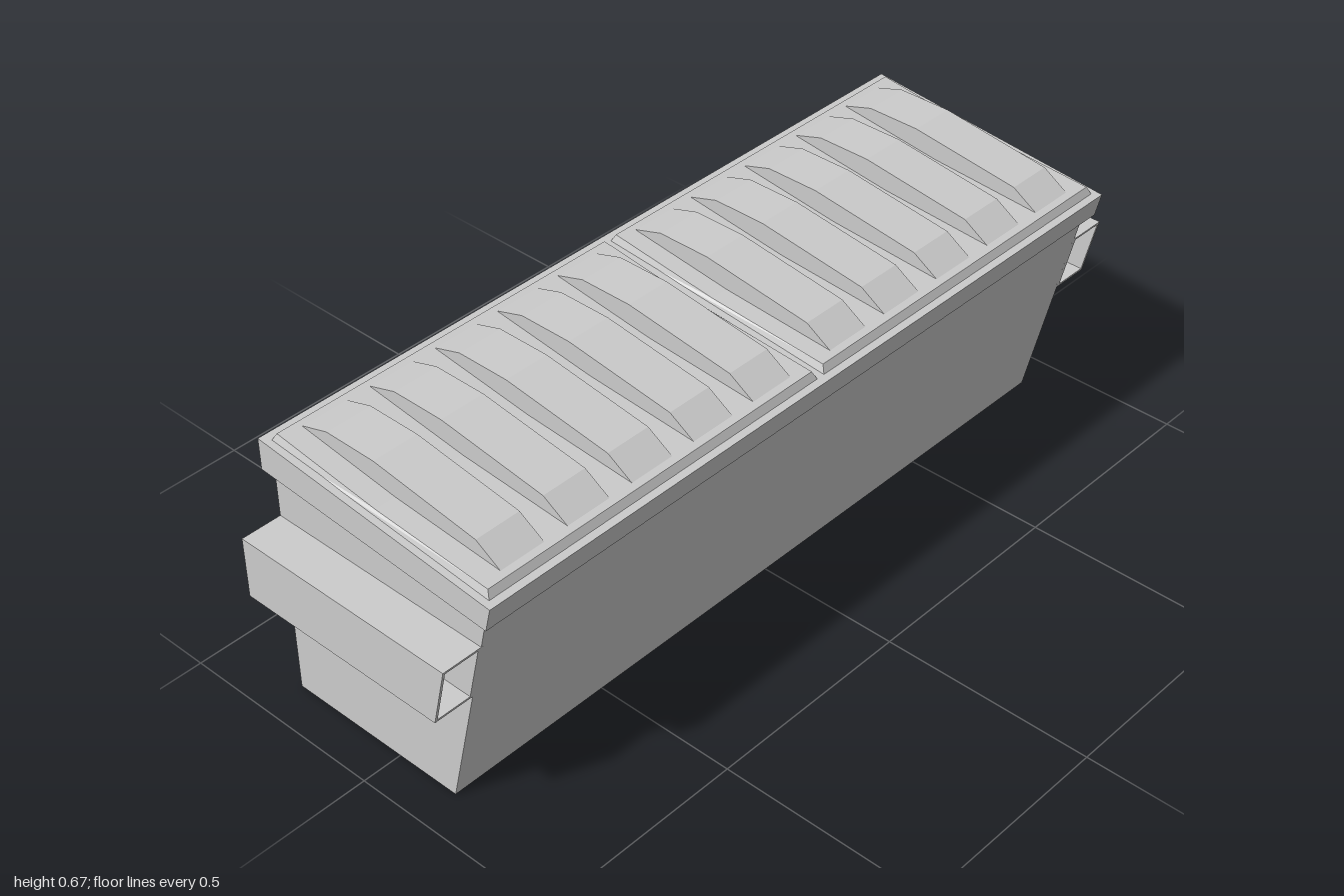
import * as THREE from 'three';

const material = new THREE.MeshStandardMaterial({ color: 0xcccccc, flatShading: true });

// Extrude an x-y outline between two z positions
function slab(name, points, z0, z1) {
  const shape = new THREE.Shape(points.map(([x, y]) => new THREE.Vector2(x, y)));
  const geometry = new THREE.ExtrudeGeometry(shape, { depth: z1 - z0, bevelEnabled: false });
  geometry.translate(0, 0, z0);
  const mesh = new THREE.Mesh(geometry, material);
  mesh.name = name;
  return mesh;
}

// Lid panel whose top edge is drawn in, giving chamfered ends
function lidPanel(z0, z1) {
  const top = [[0.285, 0.595], [-0.01, 0.615], [-0.282, 0.649]];
  const mesh = slab('lidPanel', [[-0.295, 0.625], [0.298, 0.57], ...top], z0, z1);
  const p = mesh.geometry.attributes.position;
  const mid = (z0 + z1) / 2;
  for (let i = 0; i < p.count; i++) {
    const onTop = top.some(([x, y]) => Math.hypot(p.getX(i) - x, p.getY(i) - y) < 1e-4);
    if (onTop) p.setZ(i, p.getZ(i) - Math.sign(p.getZ(i) - mid) * 0.01);
  }
  mesh.geometry.computeVertexNormals();
  return mesh;
}

// Hollow lifting sleeve running along x, its front end cut to the wall's slope
function sleeve(side) {
  const y0 = 0.303, y1 = 0.447, inner = 0.9, outer = 1.0, t = 0.006;
  const rect = (Type, a, b, c, d) => new Type([[a, c], [b, c], [b, d], [a, d]].map(([u, v]) => new THREE.Vector2(u, v)));
  const shape = rect(THREE.Shape, inner, outer, y0, y1);
  shape.holes.push(rect(THREE.Path, inner + 0.012, outer - t, y0 + t, y1 - t));
  const geometry = new THREE.ExtrudeGeometry(shape, { depth: 1, bevelEnabled: false });
  const p = geometry.attributes.position;
  for (let i = 0; i < p.count; i++) {
    const end = 0.158 + 0.2352 * p.getY(i);
    p.setZ(i, p.getZ(i) > 0.5 ? end : -0.295);
  }
  geometry.rotateY(Math.PI / 2); // lies at negative z
  if (side > 0) geometry.translate(0, 0, inner + outer);
  if (side > 0) {
    // move the thicker wall back against the body
    for (let i = 0; i < p.count; i++) {
      const z = p.getZ(i);
      if (Math.abs(z - (outer - 0.012)) < 1e-4) p.setZ(i, outer - t);
      else if (Math.abs(z - (inner + t)) < 1e-4) p.setZ(i, inner + 0.012);
    }
  }
  geometry.computeVertexNormals();
  const mesh = new THREE.Mesh(geometry, material);
  mesh.name = side > 0 ? 'frontSleeve' : 'rearSleeve';
  return mesh;
}

export function createModel() {
  const model = new THREE.Group();
  model.name = 'wasteContainer';

  // Hopper with one sloping long wall
  model.add(slab('body', [[-0.295, 0], [0.158, 0], [0.288, 0.553], [-0.295, 0.6]], -0.905, 0.905));

  // Overhanging rim band
  model.add(slab('rim', [[-0.312, 0.561], [0.298, 0.518], [0.312, 0.576], [-0.312, 0.635]], -0.922, 0.922));

  // Two ribbed lids with a narrow gap between them
  const ribProfile = [[-0.265, 0.62], [0.265, 0.58], [0.267, 0.596], [0.205, 0.634], [-0.065, 0.67], [-0.195, 0.67], [-0.265, 0.648]];
  for (const side of [-1, 1]) {
    const lid = new THREE.Group();
    lid.name = side > 0 ? 'frontLid' : 'rearLid';
    lid.add(side > 0 ? lidPanel(0.007, 0.909) : lidPanel(-0.909, -0.007));
    for (let i = 0; i < 5; i++) {
      const z = side * (0.115 + i * 0.17);
      lid.add(slab('lidRib', ribProfile, z - 0.055, z + 0.055));
    }
    model.add(lid);
    model.add(sleeve(side));
  }
  return model;
}
